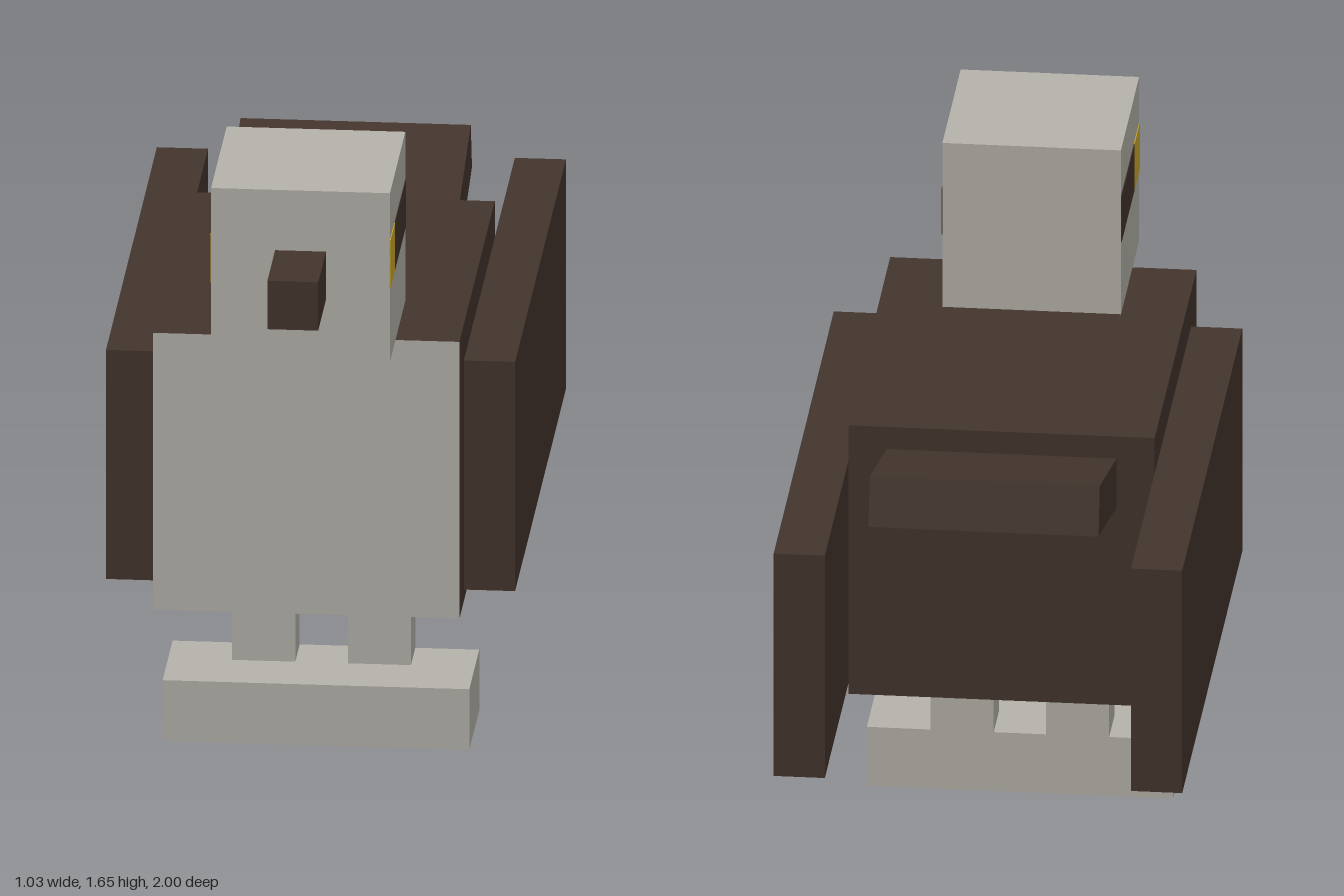
import * as THREE from 'three';

export function createModel() {
  const group = new THREE.Group();
  const mat = (name, color) => {
    const m = new THREE.MeshStandardMaterial({ color });
    m.name = name;
    return m;
  };
  const brown = mat('brown feathers', 0x43352d);
  const grey = mat('pale grey feathers', 0xb5b2aa);
  const yellow = mat('yellow eye', 0xc9a82e);

  // Box given by its minimum and maximum on each axis
  function box(name, material, [x0, x1], [y0, y1], [z0, z1]) {
    const mesh = new THREE.Mesh(new THREE.BoxGeometry(x1 - x0, y1 - y0, z1 - z0), material);
    mesh.position.set((x0 + x1) / 2, (y0 + y1) / 2, (z0 + z1) / 2);
    mesh.name = name;
    group.add(mesh);
    return mesh;
  }

  // Body: brown with a pale chest (+z) and belly (-y)
  box('body', [brown, brown, brown, grey, grey, brown], [-0.386, 0.386], [0.456, 1.195], [-0.417, 0.613]);

  // Head and beak
  box('head', grey, [-0.225, 0.225], [1.195, 1.646], [0.325, 0.775]);
  box('beak', brown, [-0.064, 0.064], [1.356, 1.485], [0.775, 1]);

  // Foot block shared by both legs
  box('feet', grey, [-0.386, 0.386], [0, 0.162], [0.035, 0.325]);

  // Mirrored parts
  for (const [side, s] of [['left', 1], ['right', -1]]) {
    const span = (a, b) => (s > 0 ? [a, b] : [-b, -a]);
    box(side + 'Wing', brown, span(0.386, 0.515), [0.486, 1.098], [-1, 0.483]);
    box(side + 'Leg', grey, span(0.066, 0.225), [0.162, 0.456], [0.035, 0.162]);
    box(side + 'Eye', yellow, span(0.223, 0.227), [1.394, 1.521], [0.645, 0.775]);
    box(side + 'EyeStripe', brown, span(0.223, 0.227), [1.394, 1.521], [0.325, 0.645]);
  }

  // Tail tilts up out of the back of the body
  const tail = box('tail', brown, [-0.29, 0.29], [1.043, 1.172], [-0.857, -0.277]);
  tail.rotation.x = THREE.MathUtils.degToRad(15);

  return group;
}
